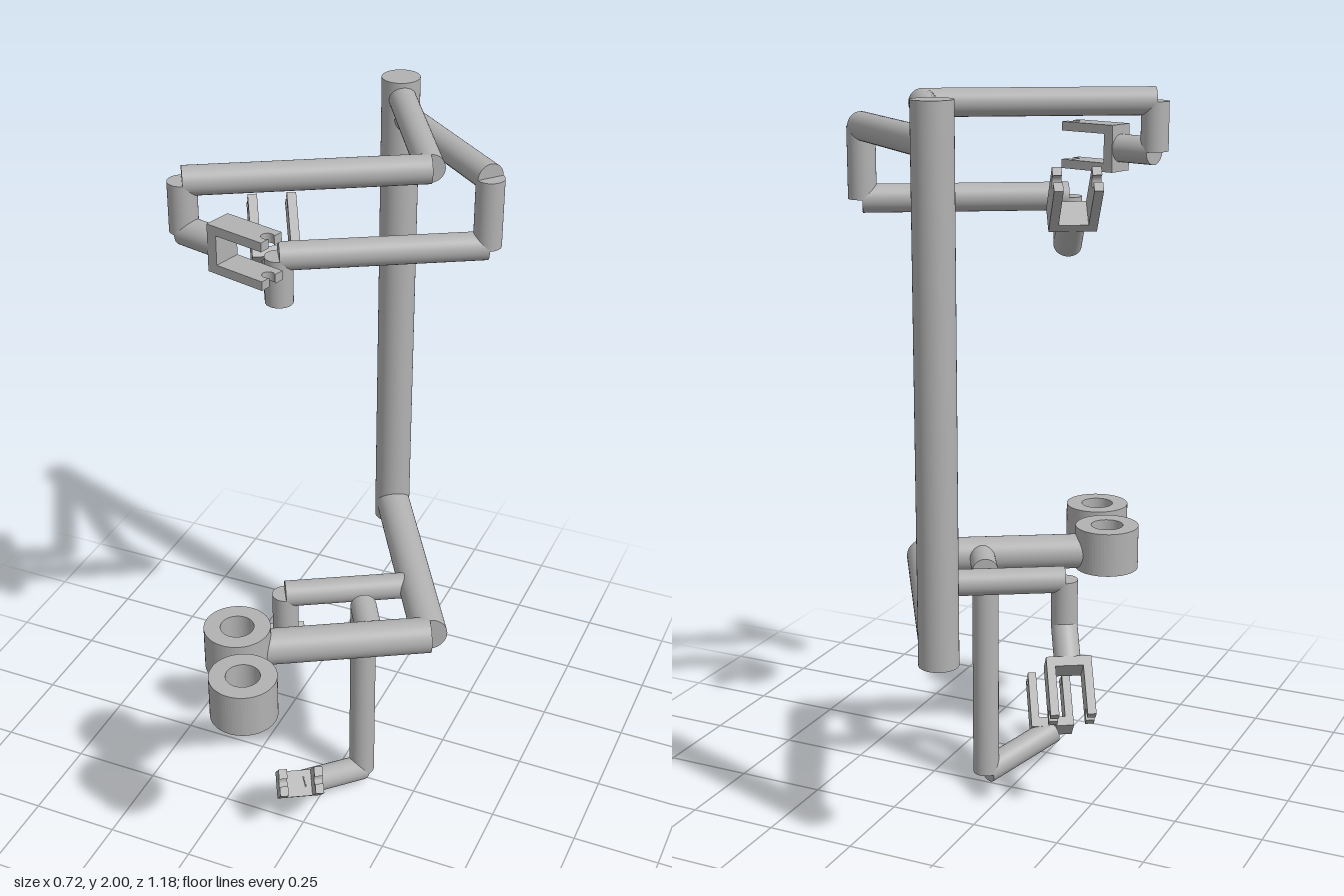
import * as THREE from 'three';

const V = (x, y, z) => new THREE.Vector3(x, y, z);
const grey = new THREE.MeshStandardMaterial({ color: 0xb2b2b2 });
grey.name = 'plain grey';

// Heading in the ground plane (degrees from +x towards +z) with an upward pitch
function heading(deg, pitch = 0) {
  const a = THREE.MathUtils.degToRad(deg), p = THREE.MathUtils.degToRad(pitch);
  return V(Math.cos(a) * Math.cos(p), Math.sin(p), Math.sin(a) * Math.cos(p));
}

function add(group, name, geometry) {
  const mesh = new THREE.Mesh(geometry, grey);
  mesh.name = name;
  group.add(mesh);
  return mesh;
}

// Straight round bar with flat ends
function bar(group, name, a, b, r) {
  const dir = b.clone().sub(a);
  const mesh = add(group, name, new THREE.CylinderGeometry(r, r, dir.length(), 40));
  mesh.position.copy(a).addScaledVector(dir, 0.5);
  mesh.quaternion.setFromUnitVectors(V(0, 1, 0), dir.normalize());
}

// Chain of bars through a list of joints
function chain(group, names, points, r) {
  names.forEach((name, i) => bar(group, name, points[i], points[i + 1], r));
}

// Two-pronged gripper: base plate plus prongs with a rounded notch at the tips
function gripper(group, origin, dir, side) {
  const L = 0.17, W = 0.076, H = 0.125, T = 0.024, base = 0.028, r = 0.016, inset = 0.012;
  const g = new THREE.Group();
  g.name = 'gripper';
  const plate = add(g, 'gripperBase', new THREE.BoxGeometry(base, W, H - 2 * T));
  plate.position.x = base / 2;

  const dx = Math.sqrt(r * r - inset * inset), a = Math.atan2(dx, inset);
  const shape = new THREE.Shape();
  shape.moveTo(0, -W / 2);
  shape.lineTo(L, -W / 2);
  shape.lineTo(L, -dx);
  shape.absarc(L - inset, 0, r, -a, a, true);
  shape.lineTo(L, W / 2);
  shape.lineTo(0, W / 2);
  const prong = new THREE.ExtrudeGeometry(shape, { depth: T, bevelEnabled: false, curveSegments: 16 });
  for (const z of [-H / 2, H / 2 - T]) add(g, 'gripperProng', prong).position.z = z;

  const up = side.clone().cross(dir);
  g.quaternion.setFromRotationMatrix(new THREE.Matrix4().makeBasis(dir, up, side));
  g.position.copy(origin);
  group.add(g);
}

// Upright ring with a through hole
function ring(group, name, x, z) {
  const shape = new THREE.Shape().absarc(0, 0, 0.091, 0, Math.PI * 2, false);
  shape.holes.push(new THREE.Path().absarc(0, 0, 0.046, 0, Math.PI * 2, true));
  const mesh = add(group, name, new THREE.ExtrudeGeometry(shape, { depth: 0.127, bevelEnabled: false, curveSegments: 32 }));
  mesh.rotation.x = -Math.PI / 2;
  mesh.position.set(x, 0.6, z);
}

function part(model, name) {
  const g = new THREE.Group();
  g.name = name;
  model.add(g);
  return g;
}

export function createModel() {
  const model = new THREE.Group();
  model.name = 'armStand';
  const R = 0.05, r = 0.037, px = -0.046, pz = -0.538;
  const along = heading(60), across = heading(150);
  const side = heading(-30);

  // Post
  bar(model, 'post', V(px, 0.597, pz), V(px, 2, pz), 0.052);

  // Upper long arm with level gripper
  const longArm = part(model, 'upperLongArm');
  const a0 = V(px, 1.95, pz), a1 = V(0.203, 1.95, -0.107);
  const a2 = V(-0.323, 1.95, 0.197), a3 = V(-0.323, 1.82, 0.197);
  const aDir = heading(15), a4 = a3.clone().addScaledVector(aDir, 0.11);
  chain(longArm, ['upperLink', 'foreLink', 'dropLink', 'wrist'], [a0, a1, a2, a3, a4], r);
  gripper(longArm, a4, aDir, V(0, 1, 0));

  // Upper short arm with raised gripper
  const shortArm = part(model, 'upperShortArm');
  const bDir = heading(240, 45);
  const b = [V(px, 1.897, pz), V(0.318, 1.897, -0.229), V(0.318, 1.712, -0.229),
    V(-0.145, 1.712, 0.037), V(-0.145, 1.583, 0.037)];
  b.push(b[4].clone().addScaledVector(bDir, 0.11));
  chain(shortArm, ['upperLink', 'elbowPost', 'foreLink', 'dropLink', 'wrist'], b, r);
  gripper(shortArm, b[5], bDir, side);

  // Lower main arm carrying the two rings
  const lower = part(model, 'lowerArm');
  const elbow = V(0.3, 0.65, 0.051);
  const ring1 = V(-0.159, 0.65, 0.316), ring2 = V(-0.054, 0.65, 0.498);
  bar(lower, 'mainLink', V(px, 0.65, pz), elbow, R);
  bar(lower, 'ringLink', elbow, ring1.clone().addScaledVector(across, -0.07), R);
  bar(lower, 'ringConnector', ring1.clone().addScaledVector(along, 0.07), ring2.clone().addScaledVector(along, -0.07), R);
  ring(lower, 'innerRing', ring1.x, ring1.z);
  ring(lower, 'outerRing', ring2.x, ring2.z);

  // Side branch with downward gripper
  const branch = part(model, 'sideBranch');
  const dDir = heading(240, -45);
  const d = [V(0.179, 0.65, -0.15), V(-0.145, 0.65, 0.037), V(-0.145, 0.515, 0.037)];
  d.push(d[2].clone().addScaledVector(dDir, 0.11));
  chain(branch, ['branchLink', 'dropLink', 'wrist'], d, r);
  gripper(branch, d[3], dDir, side);

  // Long hanging branch with upturned gripper
  const hanging = part(model, 'hangingBranch');
  const c = [V(0.157, 0.65, 0.133), V(0.081, 0.65, 0), V(0.081, 0.038, 0)];
  c.push(c[2].clone().addScaledVector(heading(120, 15), 0.245));
  chain(hanging, ['stubLink', 'hangingLink', 'wrist'], c, r);
  gripper(hanging, c[3], heading(60, 45), side);

  return model;
}
